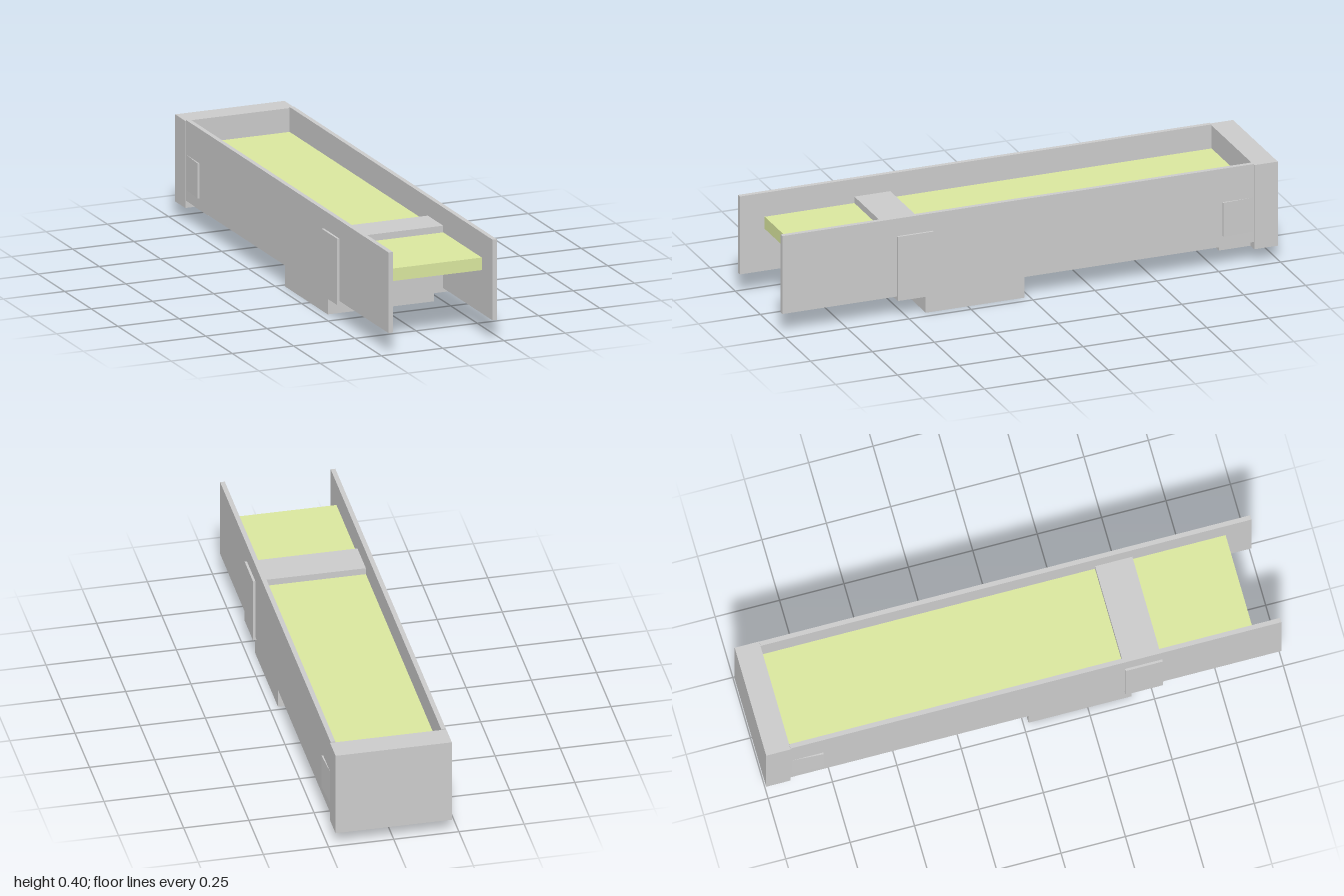
import * as THREE from 'three';

export function createModel() {
  const group = new THREE.Group();
  const grey = new THREE.MeshStandardMaterial({ color: 0xcccccc, flatShading: true });
  const green = new THREE.MeshStandardMaterial({ color: 0xdae79f, flatShading: true });

  // Box given by its lower and upper limits on each axis
  function block(name, [x0, x1], [y0, y1], [z0, z1], material = grey) {
    const mesh = new THREE.Mesh(new THREE.BoxGeometry(x1 - x0, y1 - y0, z1 - z0), material);
    mesh.position.set((x0 + x1) / 2, (y0 + y1) / 2, (z0 + z1) / 2);
    mesh.name = name;
    group.add(mesh);
    return mesh;
  }

  // Belt bed and the floor closing the underside
  block('belt', [-0.203, 0.203], [0.254, 0.303], [-0.905, 0.9], green);
  block('floor', [-0.203, 0.203], [0.086, 0.11], [-0.905, 0.4]);

  // Bracket wrapped around the channel, and the drive box below it
  block('bracket', [-0.23, 0.23], [0.07, 0.329], [0.393, 0.538]);
  block('driveBox', [-0.217, 0.217], [0, 0.086], [0.02, 0.42]);

  // End cap with its lower tongue
  block('endCap', [-0.223, 0.223], [0.056, 0.396], [-1, -0.905]);
  block('endCapTongue', [-0.185, 0.185], [0.056, 0.086], [-0.906, -0.778]);

  for (const side of [1, -1]) {
    const label = side > 0 ? 'left' : 'right';
    const span = (a, b) => (side > 0 ? [a, b] : [-b, -a]);
    block(label + 'Wall', span(0.203, 0.221), [0.085, 0.4], [-0.905, 1]);

    // Snap clip: its outer face slopes back into the wall toward the end cap
    const clip = block(label + 'Clip', span(0.212, 0.228), [0.128, 0.265], [-0.9, -0.778]);
    const p = clip.geometry.attributes.position;
    for (let i = 0; i < p.count; i++) {
      if (p.getX(i) * side > 0 && p.getZ(i) < 0) p.setX(i, p.getX(i) - side * 0.007);
    }
    clip.geometry.computeVertexNormals();
  }
  return group;
}
